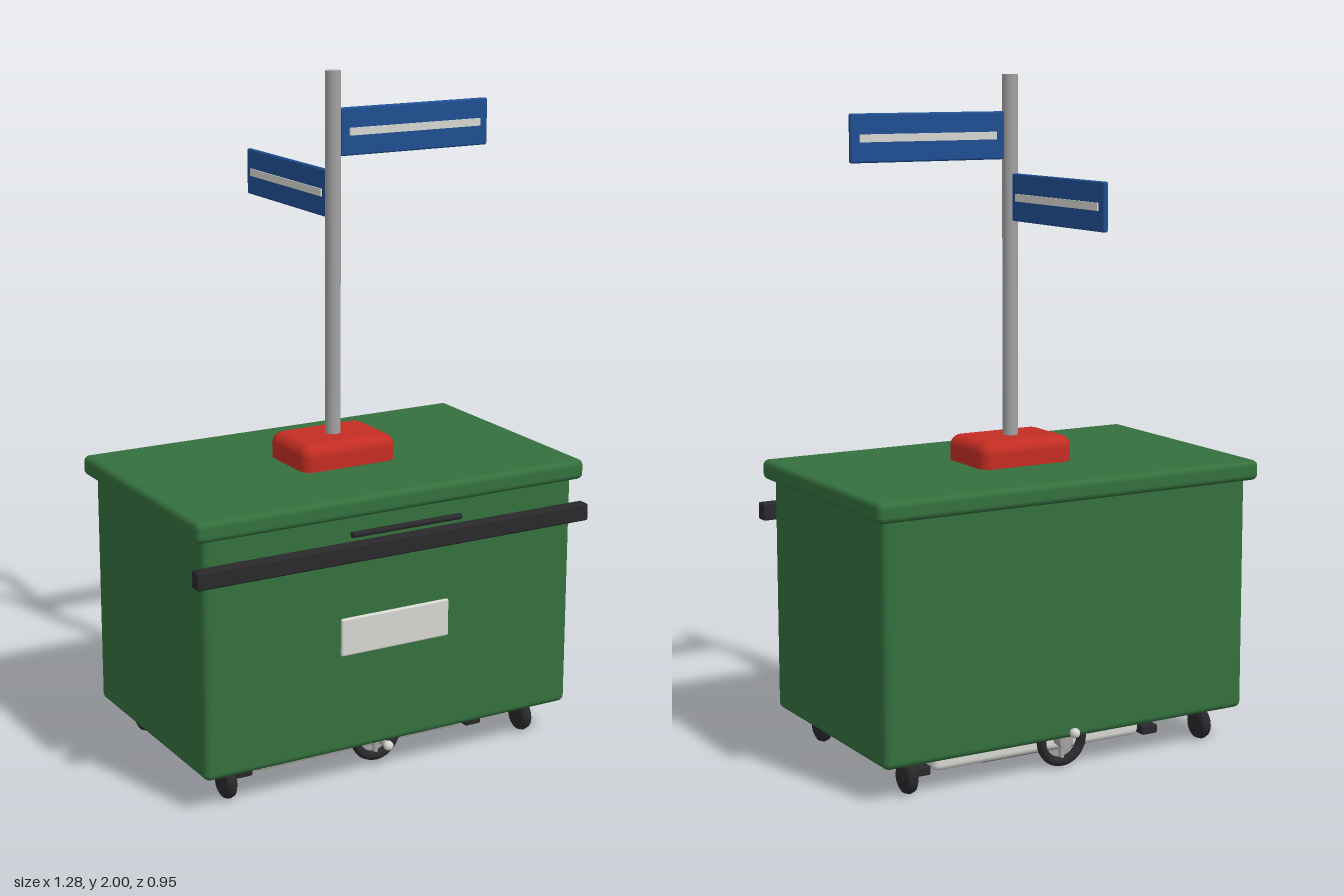
import * as THREE from 'three';
import { RoundedBoxGeometry } from 'three/addons/geometries/RoundedBoxGeometry.js';

const material = (name, color) => Object.assign(new THREE.MeshStandardMaterial({ color }), { name });

export function createModel() {
  const model = new THREE.Group();
  model.name = 'wheeledBinWithSignpost';

  const green = material('green', 0x34703d);
  const red = material('red', 0xc42d22);
  const blue = material('blue', 0x1f4f93);
  const black = material('black', 0x29282b);
  const steel = material('steel', 0xa3a3a3);
  const pale = material('paleGrey', 0xd6d6d2);

  const add = (parent, name, geometry, mat, x, y, z) => {
    const mesh = new THREE.Mesh(geometry, mat);
    mesh.name = name;
    mesh.position.set(x, y, z);
    parent.add(mesh);
    return mesh;
  };
  const rounded = (w, h, d, r) => new RoundedBoxGeometry(w, h, d, 4, r);
  const box = (w, h, d) => new THREE.BoxGeometry(w, h, d);
  const rod = (r, length, sides = 20) => new THREE.CylinderGeometry(r, r, length, sides);

  // Bin body and overhanging lid
  add(model, 'body', rounded(1.21, 0.72, 0.715, 0.02), green, 0, 0.465, 0.048);
  add(model, 'lid', rounded(1.265, 0.06, 0.77, 0.018), green, 0, 0.838, 0.045);

  // Front fittings
  add(model, 'bumper', rounded(1.28, 0.052, 0.04, 0.006), black, 0, 0.71, 0.424);
  add(model, 'handleBar', rod(0.009, 0.355, 12), black, 0, 0.777, 0.467).rotation.z = Math.PI / 2;
  add(model, 'labelPlate', rounded(0.355, 0.112, 0.016, 0.006), pale, 0, 0.455, 0.406);

  // Signpost on its red foot
  add(model, 'postFoot', rounded(0.31, 0.11, 0.226, 0.035), red, 0, 0.89, 0.045);
  add(model, 'post', rod(0.023, 1.08), steel, 0, 1.46, 0.045);

  // Two sign boards with a pale stripe on each face
  const addSign = (name, y, angle) => {
    const sign = new THREE.Group();
    sign.name = name;
    sign.position.set(0, y, 0.045);
    sign.rotation.y = angle;
    add(sign, 'board', rounded(0.495, 0.138, 0.016, 0.006), blue, 0.27, 0, 0);
    for (const s of [-1, 1]) {
      add(sign, 'stripe', box(0.44, 0.022, 0.006), pale, 0.27, 0, s * 0.009);
    }
    model.add(sign);
  };
  addSign('frontSign', 1.825, 0);
  addSign('rearSign', 1.647, Math.PI / 2);

  // Corner castors: rounded tyre, hub and swivel fork
  const tyreProfile = [
    [0.01, -0.017], [0.035, -0.018], [0.045, -0.012], [0.049, 0],
    [0.045, 0.012], [0.035, 0.018], [0.01, 0.017],
  ].map(([r, y]) => new THREE.Vector2(r, y));
  for (const x of [-0.5, 0.5]) {
    for (const z of [0.318, -0.235]) {
      const castor = new THREE.Group();
      castor.name = 'castor';
      castor.position.set(x, 0.054, z);
      add(castor, 'tyre', new THREE.LatheGeometry(tyreProfile, 24), black, 0, 0, 0).rotation.z = Math.PI / 2;
      add(castor, 'axle', rod(0.012, 0.036, 12), black, 0, 0, 0).rotation.z = Math.PI / 2;
      add(castor, 'swivel', rod(0.018, 0.05, 12), black, 0, 0.04, 0);
      model.add(castor);
    }
  }

  // Underbody tank with dark base panel
  add(model, 'tank', rounded(0.71, 0.115, 0.35, 0.02), pale, 0, 0.065, 0.048);
  add(model, 'basePanel', box(0.36, 0.006, 0.3), black, 0, 0.006, 0.048);

  // Skids hung from short legs at both ends of the tank
  for (const s of [-1, 1]) {
    add(model, 'skid', rounded(0.055, 0.028, 0.355, 0.006), black, s * 0.393, 0.019, 0.048);
    add(model, 'skidLeg', box(0.036, 0.09, 0.036), pale, s * 0.391, 0.072, 0.048);
  }

  // Hand wheels front and back, with spoke, hub and outward knob
  const addHandWheel = (name, z, turn, knobY) => {
    const wheel = new THREE.Group();
    wheel.name = name;
    wheel.position.set(0, 0.088, z);
    wheel.rotation.y = turn;
    add(wheel, 'rim', new THREE.TorusGeometry(0.068, 0.014, 12, 40), black, 0, 0, 0);
    add(wheel, 'spoke', rod(0.008, 0.13, 12), steel, 0, 0, 0);
    add(wheel, 'hub', rod(0.022, 0.04), steel, 0, 0, 0.01).rotation.x = Math.PI / 2;
    add(wheel, 'crank', rod(0.009, 0.07, 12), steel, 0, knobY, 0.035).rotation.x = Math.PI / 2;
    add(wheel, 'knob', new THREE.SphereGeometry(0.015, 16, 12), pale, 0, knobY, 0.075);
    model.add(wheel);
  };
  addHandWheel('frontHandWheel', 0.3, 0, -0.01);
  addHandWheel('rearHandWheel', -0.25, Math.PI, 0.037);

  return model;
}
